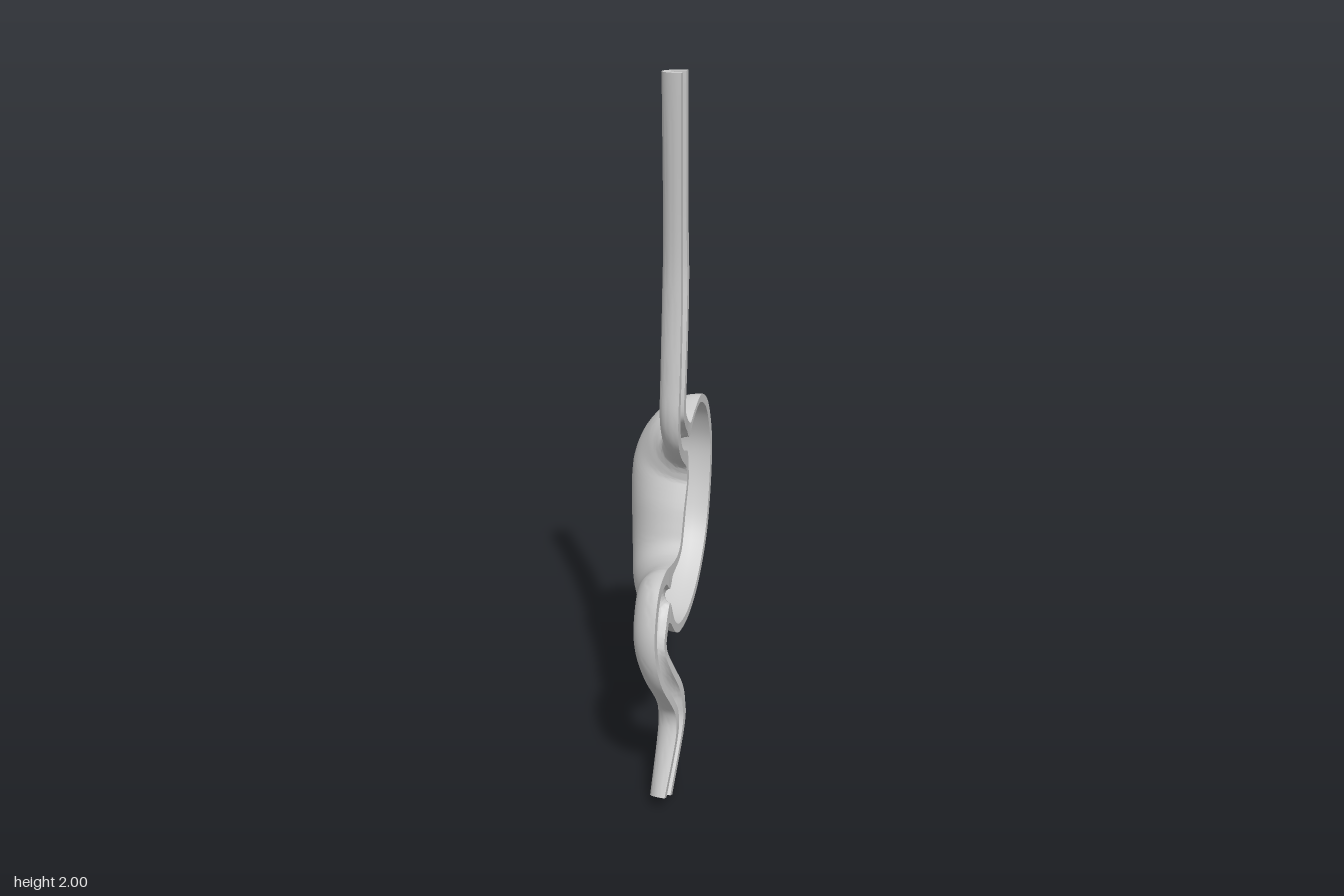
import * as THREE from 'three';
import { toCreasedNormals } from 'three/addons/utils/BufferGeometryUtils.js';

// Cross-section stations along the tract: the two rim ends (z, y) of each half-section,
// then its depth towards -x, the x of the cut plane and the wall thickness.
const ESOPHAGUS = [
  [0.085, 2.0, 0.0, 2.0, 0.06, 0.08, 0.022],
  [0.077, 1.6, -0.016, 1.6, 0.058, 0.08, 0.025],
  [0.09, 1.4, -0.01, 1.45, 0.062, 0.084, 0.026],
  [0.12, 1.2, 0.022, 1.24, 0.063, 0.088, 0.026],
  [0.134, 1.09, 0.037, 1.1, 0.062, 0.088, 0.027],
  [0.115, 1.01, 0.01, 1.06, 0.06, 0.086, 0.03],
  [0.06, 0.955, -0.03, 1.035, 0.06, 0.082, 0.03],
];
const STOMACH = [
  [-0.005, 0.91, -0.07, 1.02, 0.075, 0.08, 0.042],
  [-0.018, 0.885, -0.125, 1.042, 0.1, 0.08, 0.03],
  [-0.02, 0.87, -0.21, 1.057, 0.133, 0.08, 0.028],
  [-0.02, 0.855, -0.3, 1.01, 0.168, 0.08, 0.028],
  [-0.012, 0.84, -0.355, 0.925, 0.19, 0.08, 0.028],
  [0.0, 0.82, -0.378, 0.83, 0.198, 0.08, 0.028],
  [0.02, 0.785, -0.362, 0.7, 0.195, 0.08, 0.028],
  [0.04, 0.74, -0.31, 0.57, 0.185, 0.08, 0.028],
  [0.06, 0.7, -0.2, 0.468, 0.17, 0.08, 0.028],
  [0.09, 0.682, -0.07, 0.42, 0.15, 0.08, 0.028],
  [0.13, 0.68, 0.05, 0.422, 0.122, 0.08, 0.03],
  [0.165, 0.684, 0.12, 0.452, 0.1, 0.08, 0.04],
];
const DUODENUM = [
  [0.2, 0.69, 0.175, 0.505, 0.085, 0.08, 0.07], // narrow valve
  [0.25, 0.695, 0.205, 0.52, 0.083, 0.08, 0.04],
  [0.325, 0.67, 0.218, 0.5, 0.078, 0.08, 0.034],
  [0.37, 0.58, 0.23, 0.47, 0.075, 0.08, 0.033],
  [0.377, 0.49, 0.228, 0.44, 0.07, 0.084, 0.034],
  [0.35, 0.4, 0.2, 0.385, 0.066, 0.095, 0.034],
  [0.285, 0.31, 0.152, 0.31, 0.064, 0.107, 0.033],
  [0.255, 0.255, 0.138, 0.25, 0.064, 0.113, 0.033],
  [0.27, 0.19, 0.15, 0.17, 0.064, 0.115, 0.032],
  [0.348, 0.05, 0.25, 0.0, 0.052, 0.102, 0.028],
];

const ARC = 24;              // segments across each half-section
const STEPS = 6;             // rings between two stations
const RING = 2 * (ARC + 1);  // outer arc followed by inner arc

export function createModel() {
  const stations = [...ESOPHAGUS, ...STOMACH, ...DUODENUM];
  const spline = (pick) => new THREE.CatmullRomCurve3(stations.map(pick), false, 'catmullrom', 0.5);
  const railA = spline((s) => new THREE.Vector3(0, s[1], s[0]));
  const railB = spline((s) => new THREE.Vector3(0, s[3], s[2]));
  const sizes = spline((s) => new THREE.Vector3(s[4], s[5], s[6]));
  const spans = (stations.length - 1) * STEPS;

  // Rings: outer half-ellipse from A to B, then the inner one back from B to A
  const positions = [];
  for (let s = 0; s <= spans; s++) {
    const a = railA.getPoint(s / spans);
    const b = railB.getPoint(s / spans);
    const { x: depth, y: cutX, z: wall } = sizes.getPoint(s / spans);
    const mid = a.clone().add(b).multiplyScalar(0.5);
    const half = a.clone().sub(mid);
    const shrink = 1 - wall / half.length();
    for (let i = 0; i < RING; i++) {
      const inner = i > ARC;
      const angle = (Math.PI * (inner ? RING - 1 - i : i)) / ARC;
      const p = mid.clone().addScaledVector(half, Math.cos(angle) * (inner ? shrink : 1));
      p.x = cutX - Math.sin(angle) * (inner ? Math.max(depth - wall, 0.012) : depth);
      positions.push(p.x, p.y, p.z);
    }
  }

  // Start cap, wall rings in order, end cap
  const index = [];
  const cap = (base, flip) => {
    for (let i = 0; i < ARC; i++) {
      const o = base + i, o1 = o + 1, n = base + RING - 1 - i, n1 = n - 1;
      if (flip) index.push(o, o1, n, o1, n1, n);
      else index.push(o, n, o1, o1, n, n1);
    }
  };
  cap(0, false);
  for (let s = 0; s < spans; s++) {
    for (let i = 0; i < RING; i++) {
      const j = (i + 1) % RING;
      const p = s * RING, q = p + RING;
      index.push(p + i, p + j, q + i, p + j, q + j, q + i);
    }
  }
  cap(spans * RING, true);

  const indexed = new THREE.BufferGeometry();
  indexed.setAttribute('position', new THREE.Float32BufferAttribute(positions, 3));
  indexed.setIndex(index);
  const whole = toCreasedNormals(indexed, 0.9);

  // Divide the continuous wall into organs, keeping normals smooth across the joints
  const group = new THREE.Group();
  group.name = 'stomachCutaway';
  const material = new THREE.MeshStandardMaterial({ color: 0xcccccc, side: THREE.DoubleSide });
  const cut = (station) => (ARC * 6 + station * STEPS * RING * 6) * 3;
  const e = cut(ESOPHAGUS.length);
  const d = cut(ESOPHAGUS.length + STOMACH.length);
  const parts = [['esophagus', 0, e], ['stomach', e, d], ['duodenum', d, index.length * 3]];
  for (const [name, from, to] of parts) {
    const geometry = new THREE.BufferGeometry();
    for (const key of ['position', 'normal']) {
      const slice = whole.attributes[key].array.slice(from, to);
      geometry.setAttribute(key, new THREE.BufferAttribute(slice, 3));
    }
    const mesh = new THREE.Mesh(geometry, material);
    mesh.name = name;
    group.add(mesh);
  }
  return group;
}
